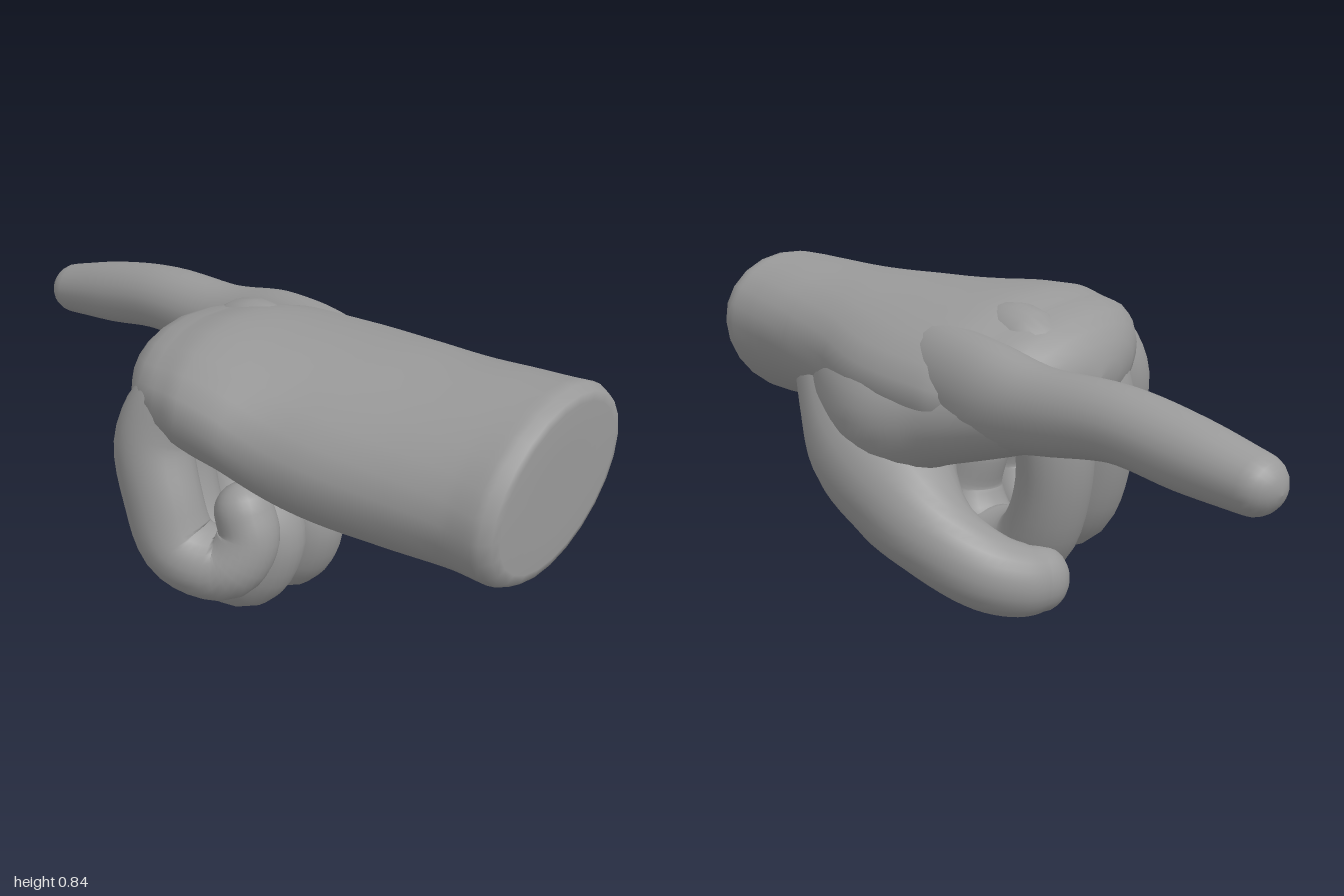
import * as THREE from 'three';

const SEG = 24;

// Sweeps an elliptical section along rows of [x, y, z, radiusU, radiusV, roll];
// the start is closed flat with a soft rim, the end is closed with a dome.
function sweep(rows, ref, { steps = 36, warp } = {}) {
  const path = new THREE.CatmullRomCurve3(rows.map(r => new THREE.Vector3(r[0], r[1], r[2])));
  const size = new THREE.CatmullRomCurve3(
    rows.map(r => new THREE.Vector3(r[3], r[4], r[5] || 0)), false, 'catmullrom', 0.5);

  // Each ring: curve parameter, scale of the section, offset along the tangent
  const rings = [[0, 0, -0.05], [0, 0.45, -0.05], [0, 0.84, -0.05], [0, 0.93, -0.045], [0, 0.99, -0.02]];
  for (let i = 0; i <= steps; i++) rings.push([i / steps, 1, 0]);
  const last = rows[rows.length - 1];
  const dome = Math.min(last[3], last[4]);
  for (let k = 1; k <= 6; k++) {
    const a = k / 6 * Math.PI / 2;
    rings.push([1, k === 6 ? 0 : Math.cos(a), dome * Math.sin(a)]);
  }

  const pos = [], index = [];
  rings.forEach(([s, scale, offset], i) => {
    const t = path.getTangent(s);
    const c = path.getPoint(s).addScaledVector(t, offset);
    const r = size.getPoint(s);
    const u = ref.clone().addScaledVector(t, -ref.dot(t)).normalize().applyAxisAngle(t, r.z);
    const v = new THREE.Vector3().crossVectors(t, u);
    for (let j = 0; j < SEG; j++) {
      const a = j / SEG * Math.PI * 2;
      const p = c.clone()
        .addScaledVector(u, r.x * scale * Math.cos(a))
        .addScaledVector(v, r.y * scale * Math.sin(a));
      if (warp) warp(p);
      pos.push(p.x, p.y, p.z);
      if (i < rings.length - 1) {
        const k = (j + 1) % SEG, A = i * SEG + j, B = i * SEG + k;
        index.push(A, B, A + SEG, B, B + SEG, A + SEG);
      }
    }
  });
  const geo = new THREE.BufferGeometry();
  geo.setAttribute('position', new THREE.Float32BufferAttribute(pos, 3));
  geo.setIndex(index);
  geo.computeVertexNormals();
  return geo;
}

export function createModel() {
  const group = new THREE.Group();
  const grey = new THREE.MeshStandardMaterial({ color: 0x999999 });
  grey.name = 'plain grey';
  const X = new THREE.Vector3(1, 0, 0), Y = new THREE.Vector3(0, 1, 0);
  const add = (name, geo) => {
    const mesh = new THREE.Mesh(geo, grey);
    mesh.name = name;
    group.add(mesh);
  };

  // Wrist and back of the hand; the knuckle line slants back to the little finger
  add('wristAndPalm', sweep([
    [-0.015, 0.61, 0.95, 0.303, 0.215, -0.35],
    [-0.015, 0.61, 0.85, 0.305, 0.213, -0.28],
    [-0.025, 0.607, 0.68, 0.325, 0.212, -0.18],
    [-0.03, 0.61, 0.48, 0.36, 0.212, -0.08],
    [-0.02, 0.625, 0.25, 0.405, 0.20, 0.05],
    [-0.025, 0.635, 0.06, 0.415, 0.19, 0.11],
    [-0.025, 0.635, -0.05, 0.395, 0.165, 0.12],
  ], X, {
    warp: p => { if (p.x < 0 && p.z < 0.4) p.z += 0.6 * p.x * p.x * Math.min(1, (0.4 - p.z) / 0.4); },
  }));

  // Outstretched index finger
  add('indexFinger', sweep([
    [0.14, 0.63, 0.32, 0.10, 0.12],
    [0.215, 0.63, 0.12, 0.12, 0.14],
    [0.262, 0.62, -0.08, 0.118, 0.145],
    [0.275, 0.62, -0.28, 0.105, 0.113],
    [0.278, 0.635, -0.53, 0.102, 0.096],
    [0.282, 0.605, -0.74, 0.096, 0.092],
    [0.283, 0.575, -0.92, 0.082, 0.076],
  ], X));

  // Curled fingers: over the knuckle, down, under, and back up towards the palm
  add('middleFinger', sweep([
    [0.04, 0.69, 0.15, 0.10, 0.10],
    [0.06, 0.70, -0.03, 0.11, 0.11],
    [0.07, 0.56, -0.12, 0.115, 0.105],
    [0.055, 0.34, -0.12, 0.11, 0.10],
    [0.04, 0.15, -0.02, 0.113, 0.105],
    [0.03, 0.13, 0.16, 0.113, 0.10],
    [0.02, 0.25, 0.23, 0.10, 0.09],
    [0.01, 0.36, 0.20, 0.09, 0.08],
  ], X));
  add('ringFinger', sweep([
    [-0.12, 0.69, 0.18, 0.10, 0.10],
    [-0.13, 0.695, 0.0, 0.11, 0.11],
    [-0.15, 0.56, -0.085, 0.112, 0.105],
    [-0.165, 0.36, -0.08, 0.107, 0.10],
    [-0.175, 0.18, 0.01, 0.108, 0.10],
    [-0.175, 0.16, 0.18, 0.105, 0.10],
    [-0.165, 0.28, 0.25, 0.095, 0.09],
    [-0.16, 0.38, 0.22, 0.088, 0.08],
  ], X));
  add('littleFinger', sweep([
    [-0.27, 0.66, 0.22, 0.09, 0.09],
    [-0.30, 0.67, 0.06, 0.105, 0.10],
    [-0.345, 0.56, 0.01, 0.105, 0.105],
    [-0.365, 0.41, 0.05, 0.10, 0.105],
    [-0.358, 0.28, 0.11, 0.103, 0.10],
    [-0.315, 0.25, 0.23, 0.098, 0.09],
    [-0.28, 0.33, 0.27, 0.083, 0.08],
    [-0.275, 0.40, 0.25, 0.08, 0.075],
  ], X));

  // Thumb folded under the palm, growing from the heel of the hand
  add('thumb', sweep([
    [0.03, 0.57, 0.74, 0.13, 0.15],
    [0.13, 0.485, 0.54, 0.165, 0.19],
    [0.235, 0.375, 0.35, 0.185, 0.20],
    [0.30, 0.275, 0.18, 0.155, 0.15],
    [0.305, 0.20, 0.05, 0.12, 0.115],
    [0.25, 0.13, -0.06, 0.108, 0.105],
    [0.18, 0.10, -0.115, 0.10, 0.095],
    [0.13, 0.095, -0.135, 0.092, 0.082],
  ], Y));

  // Web of flesh between the thumb and the index finger
  add('thumbWeb', sweep([
    [0.12, 0.57, 0.58, 0.15, 0.14],
    [0.20, 0.53, 0.42, 0.17, 0.16],
    [0.26, 0.51, 0.26, 0.165, 0.16],
    [0.275, 0.535, 0.07, 0.125, 0.12],
    [0.27, 0.575, -0.13, 0.105, 0.105],
    [0.272, 0.605, -0.27, 0.09, 0.09],
  ], Y));

  return group;
}
